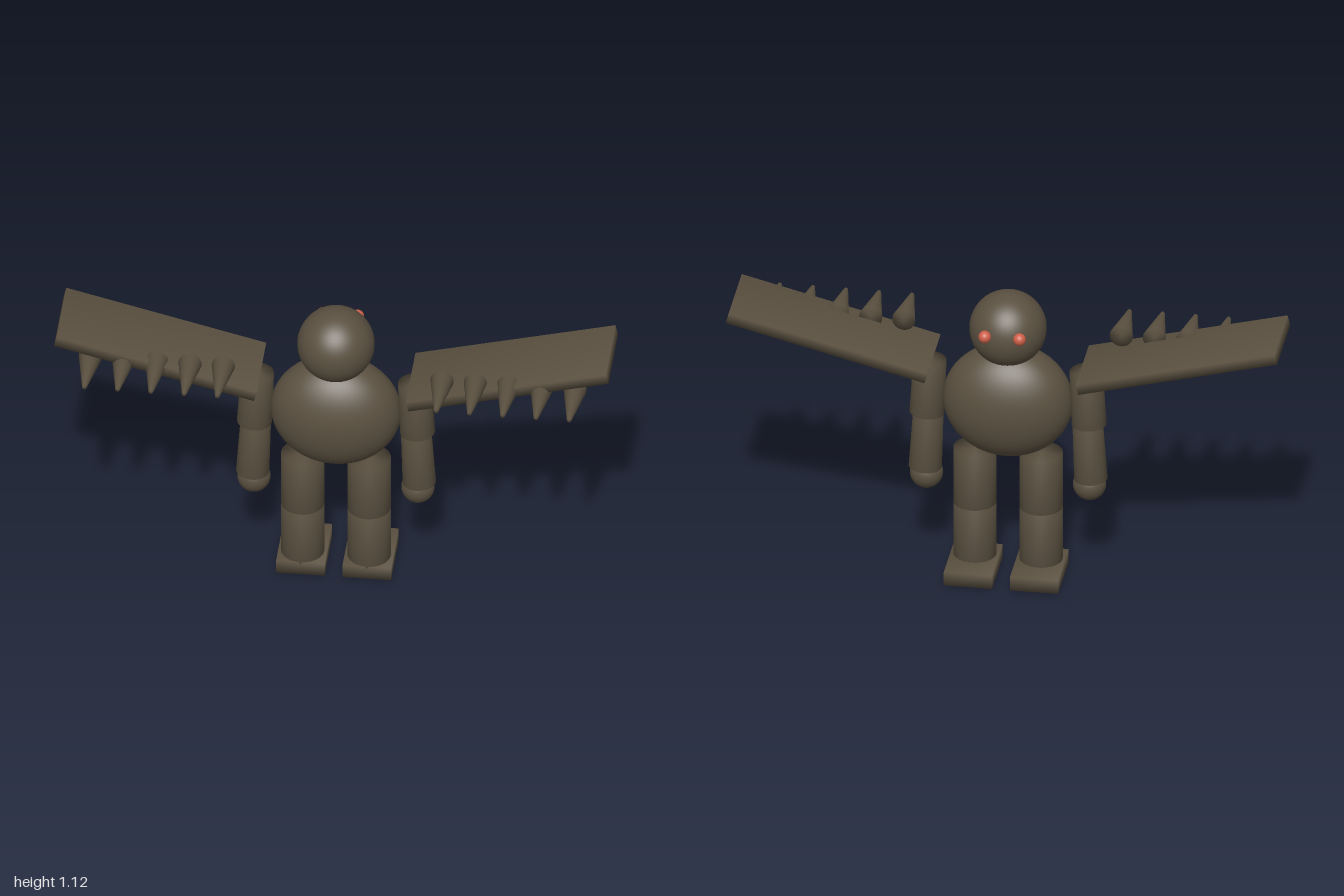
import * as THREE from 'three';
import { mergeVertices } from 'three/addons/utils/BufferGeometryUtils.js';

const AXIS_Z = -0.0625; // depth of the figure's centre line

// Weld all corners so shading rolls smoothly over every edge
function softened(geometry) {
  geometry.deleteAttribute('normal');
  geometry.deleteAttribute('uv');
  const welded = mergeVertices(geometry, 1e-5);
  welded.computeVertexNormals();
  return welded;
}

export function createModel() {
  const model = new THREE.Group();
  model.name = 'wingedFigure';

  const hide = new THREE.MeshStandardMaterial({ color: 0x5a5040 });
  hide.name = 'dark brown hide';
  const glow = new THREE.MeshStandardMaterial({ color: 0xcc5f48 });
  glow.name = 'red eye';

  function add(name, geometry, x, y, z, material = hide, tilt = 0) {
    const mesh = new THREE.Mesh(geometry, material);
    mesh.name = name;
    mesh.position.set(x, y, z);
    mesh.rotation.z = tilt;
    model.add(mesh);
    return mesh;
  }

  // Torso and head
  const torso = add('torso', new THREE.SphereGeometry(1, 48, 32), 0, 0.69, AXIS_Z);
  torso.scale.set(0.235, 0.218, 0.152);
  add('head', new THREE.SphereGeometry(0.139, 48, 32), 0, 0.981, AXIS_Z);

  // Shared shapes for the mirrored parts
  const eye = new THREE.SphereGeometry(0.023, 24, 16);
  const armSegment = softened(new THREE.CylinderGeometry(0.06, 0.063, 0.215, 32));
  const forearmSegment = softened(new THREE.CylinderGeometry(0.055, 0.06, 0.225, 32));
  const hand = new THREE.SphereGeometry(0.06, 32, 20);
  const legSegment = softened(new THREE.CylinderGeometry(0.078, 0.078, 0.22, 32));
  const foot = softened(new THREE.BoxGeometry(0.175, 0.053, 0.243));
  const wing = softened(new THREE.BoxGeometry(0.745, 0.04, 0.303));
  const spike = softened(new THREE.CylinderGeometry(0.008, 0.042, 0.19, 32));
  spike.rotateX(Math.PI / 2);

  for (const s of [1, -1]) {
    const side = s > 0 ? 'left' : 'right';

    // Eyes sit on the -z side of the head
    add(`${side}Eye`, eye, s * 0.063, 1.01, -0.198, glow);

    // Arms
    add(`${side}UpperArm`, armSegment, s * 0.289, 0.722, AXIS_Z, hide, s * 0.05);
    add(`${side}Forearm`, forearmSegment, s * 0.295, 0.505, AXIS_Z, hide, s * 0.05);
    add(`${side}Hand`, hand, s * 0.296, 0.37, AXIS_Z);

    // Legs and feet
    add(`${side}Thigh`, legSegment, s * 0.12, 0.375, AXIS_Z);
    add(`${side}Shin`, legSegment, s * 0.12, 0.155, AXIS_Z);
    add(`${side}Foot`, foot, s * 0.12, 0.0265, -0.1065);

    // Wing slab rising outwards, with a row of spikes along one edge
    add(`${side}Wing`, wing, s * 0.635, 0.923, -0.0635, hide, s * 0.25);
    for (let i = 0; i < 5; i++) {
      add(`${side}WingSpike${i + 1}`, spike, s * (0.395 + i * 0.12), 0.925, 0.135);
    }
  }

  return model;
}
